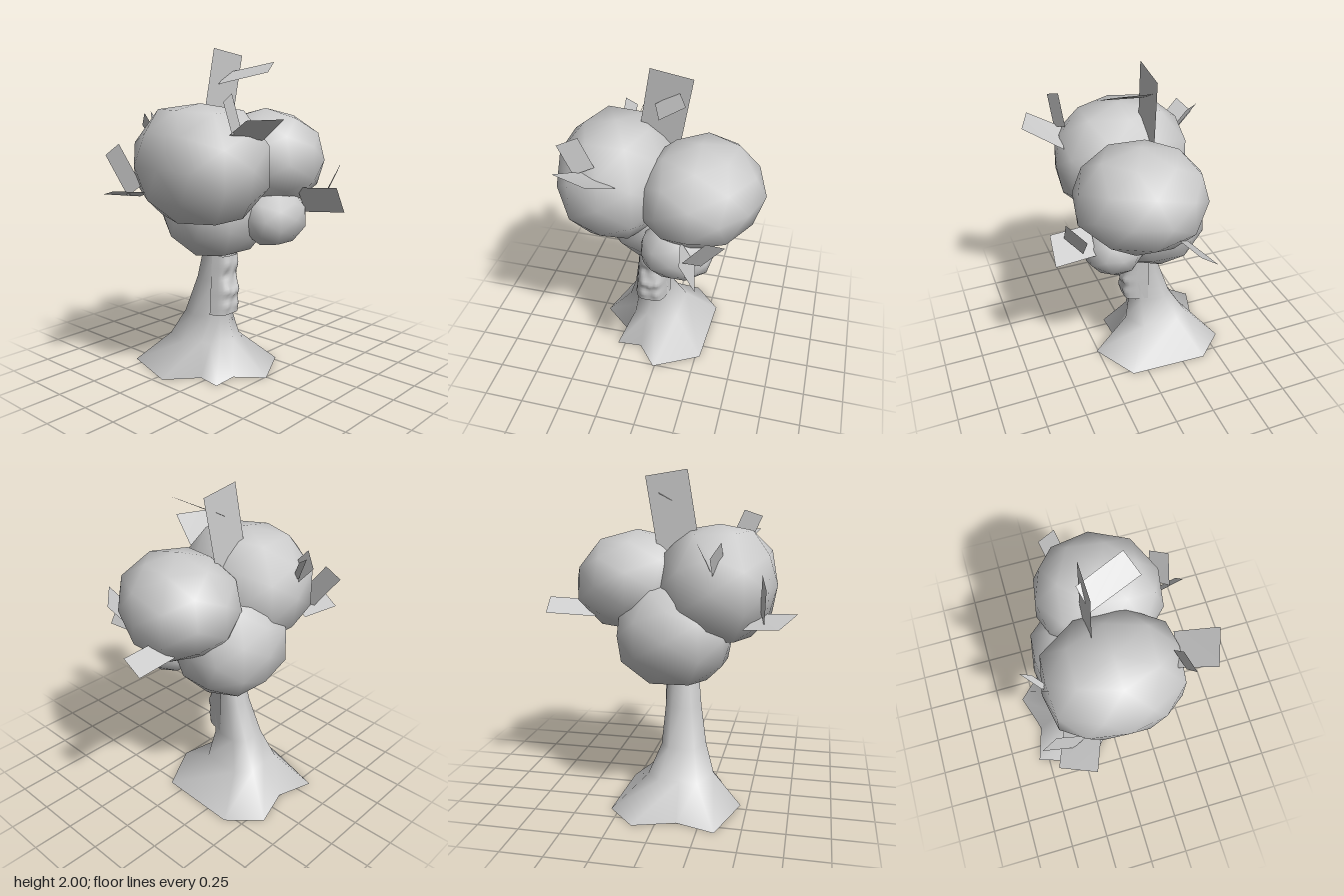
import * as THREE from 'three';
import { mergeVertices } from 'three/addons/utils/BufferGeometryUtils.js';

const grey = new THREE.MeshStandardMaterial({ color: 0xcccccc });
const greyThin = new THREE.MeshStandardMaterial({ color: 0xcccccc, side: THREE.DoubleSide });

function addMesh(group, name, geometry, material) {
  const mesh = new THREE.Mesh(geometry, material);
  mesh.name = name;
  group.add(mesh);
}

function build(positions, indices) {
  const g = new THREE.BufferGeometry();
  g.setAttribute('position', new THREE.Float32BufferAttribute(positions, 3));
  g.setIndex(indices);
  g.computeVertexNormals();
  return g;
}

// Lumpy, slightly boxy low-poly ball with smooth normals, turned about its upright axis
function blob(center, radii, boxiness, yaw, phase) {
  let g = new THREE.IcosahedronGeometry(1, 1);
  g.deleteAttribute('uv');
  g.deleteAttribute('normal');
  g = mergeVertices(g, 1e-3);
  const p = g.attributes.position;
  const v = new THREE.Vector3();
  for (let i = 0; i < p.count; i++) {
    v.fromBufferAttribute(p, i);
    const norm = v.toArray().reduce((sum, c) => sum + Math.abs(c) ** boxiness, 0) ** (1 / boxiness);
    const s = (1 + 0.02 * Math.sin(6 * v.x + phase) * Math.cos(5 * v.y + 4 * v.z + phase)) / norm;
    p.setXYZ(i, v.x * radii[0] * s, v.y * radii[1] * s, v.z * radii[2] * s);
  }
  g.rotateY(yaw).translate(...center);
  g.computeVertexNormals();
  return g;
}

// Flared trunk: the notched root outline shrinks, rounds and shifts as it rises; open underneath
function trunk() {
  const roots = [[0.3, -0.4], [0.28, 0.1], [-0.01, 0.26], [-0.14, 0.1], [-0.3, 0.11], [-0.28, -0.04],
    [-0.46, -0.2], [-0.35, -0.57], [-0.12, -0.5], [0.13, -0.58]];
  // height, scale, roundness, centre x, centre z
  const rings = [[0, 1, 0, -0.09, -0.18], [0.2, 0.49, 0.4, -0.095, -0.185], [0.37, 0.33, 0.6, -0.1, -0.145],
    [0.6, 0.26, 0.8, -0.085, -0.095], [0.9, 0.21, 1, -0.07, -0.055]];
  const n = roots.length;
  const pos = [];
  const idx = [];
  rings.forEach(([y, scale, round, cx, cz], r) => {
    roots.forEach(([x, z], j) => {
      const dx = x + 0.09;
      const dz = z + 0.18;
      const s = scale * (1 - round + (round * 0.44) / Math.hypot(dx, dz));
      pos.push(cx + dx * s, y, cz + dz * s);
      if (r === rings.length - 1) return;
      const a = r * n + j;
      const b = r * n + (j + 1) % n;
      idx.push(b, a, a + n, b, a + n, b + n);
    });
  });
  return build(pos, idx);
}

// Curved bark panel with rows of paired bumps and a nose, wrapping further round its left side
function facePanel() {
  const cols = 14;
  const rows = 20;
  const pos = [];
  const idx = [];
  const bump = (u, v, cu, cv, r, h) => h * Math.exp(-(((u - cu) / r) ** 2) - ((v - cv) / 0.08) ** 2);
  for (let i = 0; i <= rows; i++) {
    for (let j = 0; j <= cols; j++) {
      const v = i / rows;
      const u = (j / cols) * 2 - 1;
      let z = 0.04 - (u > 0 ? 0.14 : 0.08) * Math.abs(u) ** 5 - 0.005 * v;
      for (const side of [-1, 1]) {
        z += bump(u, v, side * 0.42, 0.4, 0.28, 0.022);
        z += bump(u, v, side * 0.4, 0.15, 0.28, 0.015);
        z -= bump(u, v, side * 0.42, 0.66, 0.25, 0.02);
        z += bump(u, v, side * 0.42, 0.86, 0.3, 0.01);
      }
      z += bump(u, v, 0, 0.36, 0.18, 0.02);
      pos.push(-0.088 + 0.015 * v + u * (0.112 - 0.015 * v), 0.39 + 0.37 * v, z);
      if (i < rows && j < cols) {
        const a = i * (cols + 1) + j;
        const c = a + cols + 1;
        idx.push(a, a + 1, c + 1, a, c + 1, c);
      }
    }
  }
  return build(pos, idx);
}

// Flat leaf card from four corners
const card = (corners) => build(corners.flat(), [0, 1, 2, 0, 2, 3]);

export function createModel() {
  const tree = new THREE.Group();
  tree.name = 'tree';
  addMesh(tree, 'trunk', trunk(), greyThin);
  addMesh(tree, 'trunkFace', facePanel(), greyThin);

  // Foliage
  addMesh(tree, 'foliageRight', blob([-0.285, 1.335, -0.02], [0.342, 0.35, 0.41], 2.6, 0, 0.4), grey);
  addMesh(tree, 'foliageLeft', blob([0.23, 1.33, 0.04], [0.36, 0.31, 0.39], 2.15, -0.5, 2.1), grey);
  addMesh(tree, 'foliageBack', blob([-0.035, 1.05, -0.125], [0.345, 0.315, 0.315], 2.55, 0, 4.0), grey);
  addMesh(tree, 'foliageFront', blob([0.132, 0.995, 0.19], [0.222, 0.178, 0.178], 2.4, 0, 1.2), grey);

  // Leaf cards sticking out of the foliage
  const cards = {
    leafTopUpright: [[-0.1, 2, -0.085], [0.15, 1.96, -0.085], [0.07, 1.51, -0.105], [-0.18, 1.55, -0.105]],
    leafTopTilted: [[-0.07, 1.79, -0.08], [0.06, 1.86, -0.12], [0.16, 1.92, 0.16], [0.03, 1.86, 0.22]],
    leafFrontRightFlat: [[-0.48, 1.62, 0.5], [-0.27, 1.62, 0.58], [-0.18, 1.49, 0.36], [-0.4, 1.53, 0.31]],
    leafFrontRightUpright: [[-0.5, 1.71, 0.36], [-0.39, 1.75, 0.32], [-0.31, 1.57, 0.31], [-0.42, 1.53, 0.35]],
    leafFrontLeftUpright: [[0.36, 1.33, 0.52], [0.45, 1.25, 0.43], [0.32, 1.09, 0.42], [0.23, 1.16, 0.5]],
    leafFrontLeftFlat: [[0.23, 1.2, 0.58], [0.32, 1.04, 0.58], [0.27, 1.02, 0.33], [0.18, 1.18, 0.33]],
    leafLeft: [[0.76, 1.23, -0.09], [0.75, 1.15, -0.2], [0.45, 1.13, -0.15], [0.46, 1.21, -0.04]],
    leafRightFlat: [[-0.67, 1.16, -0.44], [-0.76, 1.21, -0.24], [-0.55, 1.19, -0.16], [-0.46, 1.13, -0.36]],
    leafRightUpright: [[-0.6, 1.38, -0.5], [-0.57, 1.45, -0.41], [-0.55, 1.22, -0.24], [-0.58, 1.15, -0.33]],
    leafBackUpright: [[-0.35, 1.62, -0.43], [-0.3, 1.54, -0.51], [-0.3, 1.42, -0.4], [-0.35, 1.51, -0.33]],
    leafBackTilted: [[-0.23, 1.62, -0.51], [-0.24, 1.58, -0.45], [-0.3, 1.42, -0.36], [-0.29, 1.46, -0.42]],
  };
  for (const [name, corners] of Object.entries(cards)) addMesh(tree, name, card(corners), greyThin);
  return tree;
}
